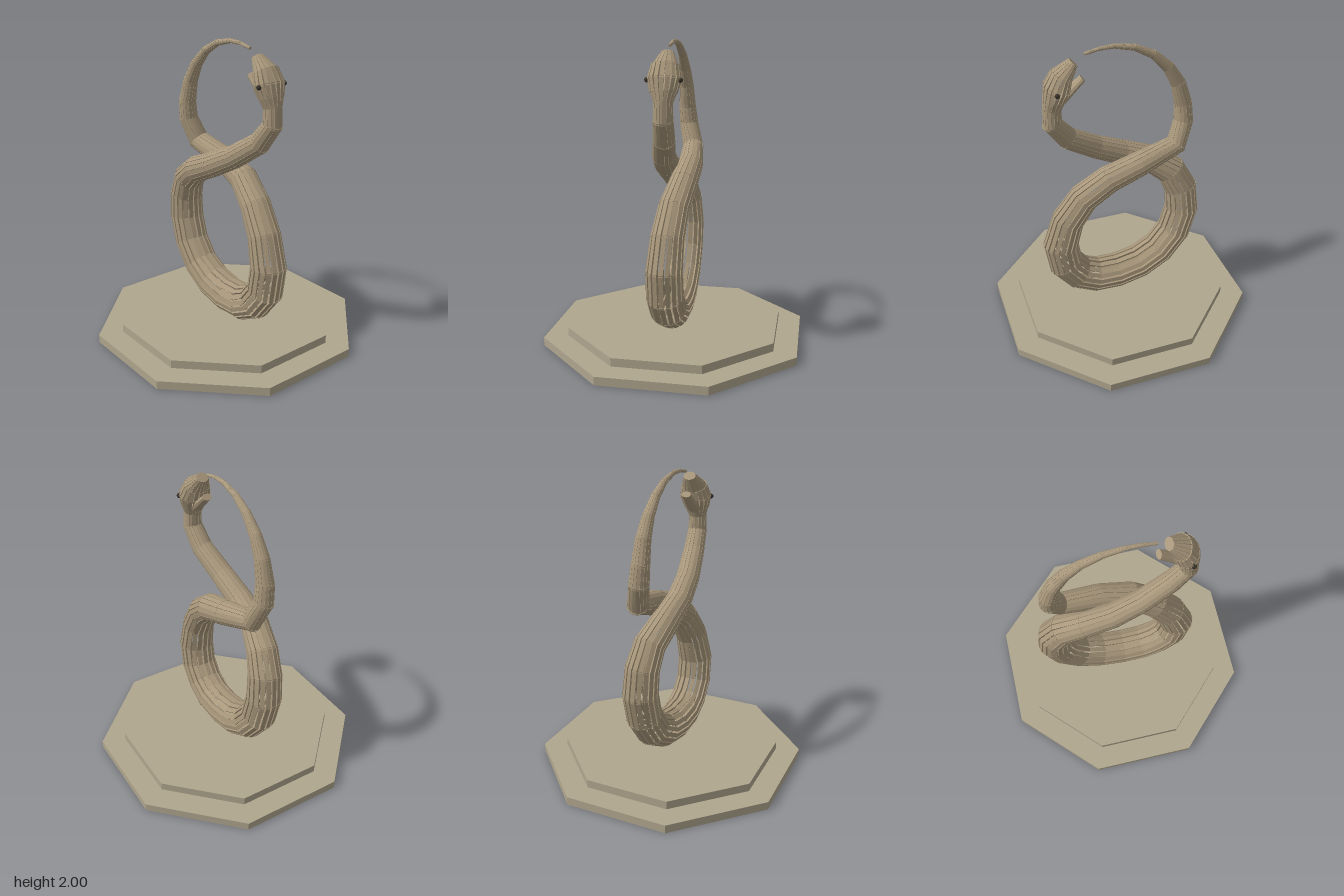
import * as THREE from 'three';
import { mergeGeometries } from 'three/addons/utils/BufferGeometryUtils.js';

const mat = (color) => new THREE.MeshStandardMaterial({ color, flatShading: true });

// Centre line stations from tail to head: x, y, z, radius
const BODY = [
  [0.21, 1.962, 0, 0.01], [0.12, 1.98, 0, 0.012], [0.03, 1.983, 0, 0.015],
  [-0.1, 1.955, 0, 0.021], [-0.22, 1.89, 0, 0.028], [-0.32, 1.79, 0, 0.038],
  [-0.39, 1.67, 0, 0.048], [-0.43, 1.52, 0, 0.058], [-0.435, 1.4, -0.01, 0.064],
  [-0.375, 1.25, -0.05, 0.07], [-0.12, 1.17, -0.075, 0.082], [0.09, 1.09, -0.065, 0.092],
  [0.25, 0.96, -0.03, 0.1], [0.36, 0.79, -0.01, 0.108], [0.417, 0.59, 0, 0.118],
  [0.39, 0.42, 0, 0.12], [0.3, 0.305, 0, 0.12], [0.18, 0.245, 0, 0.122],
  [0.02, 0.238, 0, 0.122], [-0.15, 0.275, 0, 0.12], [-0.3, 0.365, 0, 0.118],
  [-0.41, 0.51, 0, 0.117], [-0.46, 0.69, 0, 0.115], [-0.447, 0.86, 0.01, 0.11],
  [-0.38, 1.0, 0.03, 0.102], [-0.24, 1.1, 0.065, 0.092], [-0.05, 1.18, 0.075, 0.083],
  [0.14, 1.275, 0.055, 0.076], [0.33, 1.4, 0.015, 0.07], [0.43, 1.53, 0, 0.062],
  [0.425, 1.64, 0, 0.058],
];
// Head stations: x, y, z, height radius, width radius
const HEAD = [
  [0.425, 1.64, 0, 0.058, 0.058], [0.41, 1.7, 0, 0.07, 0.085], [0.39, 1.77, 0, 0.083, 0.108],
  [0.36, 1.84, 0, 0.07, 0.088], [0.287, 1.915, 0, 0.032, 0.042],
];

// Turn each station into a frame: centre, sideways and in-plane directions
function frames(stations) {
  const pts = stations.map((s) => new THREE.Vector3(s[0], s[1], s[2]));
  return stations.map((s, i) => {
    const dir = (a, b) => pts[b].clone().sub(pts[a]).normalize();
    const t = new THREE.Vector3();
    if (i > 0) t.add(dir(i - 1, i));
    if (i < pts.length - 1) t.add(dir(i, i + 1));
    t.normalize();
    const n = new THREE.Vector3(0, 0, 1).addScaledVector(t, -t.z).normalize();
    const b = new THREE.Vector3().crossVectors(t, n);
    return { c: pts[i], t, n, b, high: s[3], wide: s[4] ?? s[3] };
  });
}

// A cage of straight slats: one bent box per slat between neighbouring stations
function slatCage(stations, count, slatWidth, thick) {
  const fr = frames(stations), parts = [];
  for (let i = 0; i < fr.length - 1; i++) {
    for (let k = 0; k < count; k++) {
      const box = new THREE.BoxGeometry(1, 1, 1), p = box.attributes.position;
      for (let v = 0; v < p.count; v++) {
        const f = p.getZ(v) < 0 ? fr[i] : fr[i + 1];
        const r = (f.high + f.wide) / 2;
        const arc = Math.min(slatWidth / r, (0.92 * 2 * Math.PI) / count);
        const a = ((k + 0.5) * 2 * Math.PI) / count + p.getX(v) * arc;
        const lift = (p.getY(v) - 0.5) * Math.min(thick, r * 0.5);
        const q = f.c.clone()
          .addScaledVector(f.n, Math.cos(a) * (f.wide + lift))
          .addScaledVector(f.b, -Math.sin(a) * (f.high + lift))
          .addScaledVector(f.t, p.getZ(v) * 0.012);
        p.setXYZ(v, q.x, q.y, q.z);
      }
      box.computeVertexNormals();
      parts.push(box);
    }
  }
  return mergeGeometries(parts);
}

export function createModel() {
  const group = new THREE.Group();
  const stone = mat(0xb0a68e), wood = mat(0xa8977b), dark = mat(0x3a352c);
  const add = (name, geo, material) => {
    const mesh = new THREE.Mesh(geo, material);
    mesh.name = name;
    group.add(mesh);
    return mesh;
  };

  // Stepped octagonal base with flat sides facing the axes
  [['lowerStep', 0.83, 0.0275], ['upperStep', 0.68, 0.0825]].forEach(([name, apothem, y]) => {
    const r = apothem / Math.cos(Math.PI / 8);
    const step = add(name, new THREE.CylinderGeometry(r, r, 0.055, 8), stone);
    step.rotation.y = Math.PI / 8;
    step.position.y = y;
  });

  // Serpent body and head
  add('body', slatCage(BODY, 18, 0.029, 0.014), wood);
  add('head', slatCage(HEAD, 18, 0.024, 0.012), wood);

  // Closing discs at the snout and the tail tip
  [['snout', HEAD, HEAD.length - 1], ['tailTip', BODY, 0]].forEach(([name, list, i]) => {
    const f = frames(list)[i];
    const cap = add(name, new THREE.CylinderGeometry(f.high, f.high, 0.012, 18), wood);
    cap.scale.z = f.wide / f.high;
    cap.position.copy(f.c);
    cap.quaternion.setFromUnitVectors(new THREE.Vector3(0, 1, 0), f.t);
  });

  // Open lower jaw
  const from = new THREE.Vector3(0.365, 1.685, 0), to = new THREE.Vector3(0.23, 1.808, 0);
  const jaw = add('lowerJaw', new THREE.CylinderGeometry(0.022, 0.03, from.distanceTo(to), 10), wood);
  jaw.position.copy(from).lerp(to, 0.5);
  jaw.quaternion.setFromUnitVectors(new THREE.Vector3(0, 1, 0), to.clone().sub(from).normalize());
  jaw.scale.z = 1.5;

  // Eyes, one on each side
  for (const side of [-1, 1]) {
    const eye = add(side > 0 ? 'frontEye' : 'backEye', new THREE.SphereGeometry(0.016, 10, 8), dark);
    eye.position.set(0.412, 1.77, side * 0.1);
  }
  return group;
}
